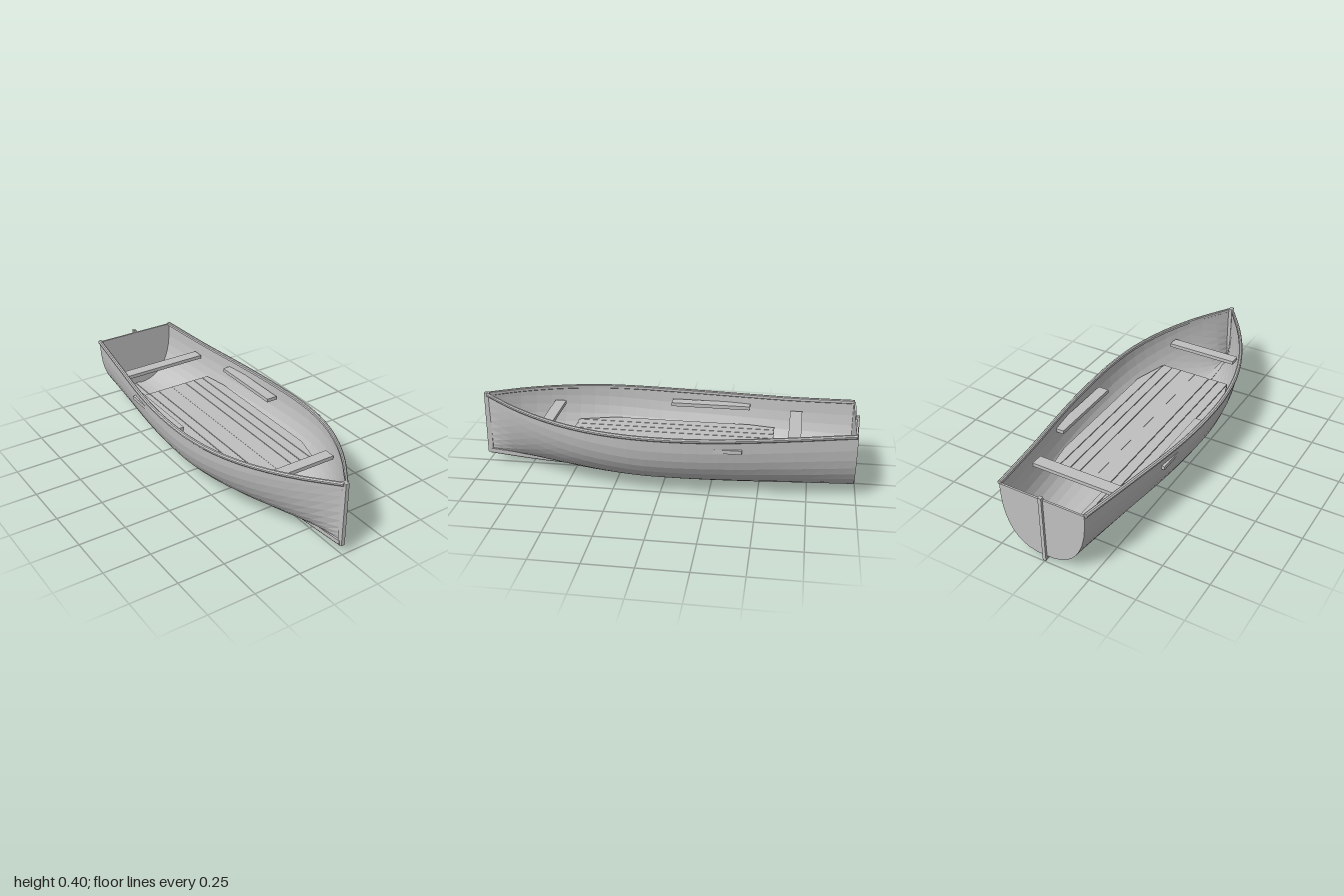
import * as THREE from 'three';

const STERN = -0.983, BOW = 0.985, STATIONS = 26, SIDE = 10;

// Smooth curve through [z, value] pairs
function curve(pairs) {
  const f = new THREE.CubicInterpolant(pairs.map(p => p[0]), pairs.map(p => p[1]), 1);
  return z => f.evaluate(z)[0];
}
const halfWidth = curve([[-0.985, 0.233], [-0.8, 0.257], [-0.6, 0.284], [-0.4, 0.313], [-0.2, 0.335], [0, 0.345],
  [0.2, 0.341], [0.4, 0.311], [0.6, 0.244], [0.8, 0.138], [0.985, 0.004]]);
const sheer = curve([[-0.985, 0.37], [-0.6, 0.349], [-0.2, 0.339], [0.1, 0.342], [0.5, 0.36], [0.985, 0.393]]);
const bottom = curve([[-0.985, 0.027], [-0.4, 0.025], [0, 0.026], [0.4, 0.033], [0.7, 0.046], [0.985, 0.072]]);

// Cross-section of the hull at z, from the -x rail round the bottom to the +x rail
function section(z) {
  const e = 2 / (2.5 - 1.0 * THREE.MathUtils.clamp((z - 0.1) / 0.9, 0, 1));
  const w = halfWidth(z), s = sheer(z), b = bottom(z), pts = [];
  for (let i = -SIDE; i <= SIDE; i++) {
    const t = Math.abs(i) / SIDE * Math.PI / 2;
    pts.push([Math.sign(i) * w * Math.sin(t) ** e, s - (s - b) * Math.max(0, Math.cos(t)) ** e, z]);
  }
  return pts;
}

// Skin over cross-sections; closed rings also get end caps
function loft(rings, closed) {
  const n = rings[0].length, pos = rings.flat(2), idx = [];
  for (let r = 0; r < rings.length - 1; r++) {
    for (let i = 0; i < (closed ? n : n - 1); i++) {
      const a = r * n + i, b = r * n + (i + 1) % n;
      idx.push(a, b, a + n, b, b + n, a + n);
    }
  }
  if (closed) {
    const last = (rings.length - 1) * n;
    for (let i = 1; i < n - 1; i++) idx.push(0, i + 1, i, last, last + i, last + i + 1);
  }
  const g = new THREE.BufferGeometry();
  g.setAttribute('position', new THREE.Float32BufferAttribute(pos, 3));
  g.setIndex(idx);
  g.computeVertexNormals();
  return g;
}

export function createModel() {
  const boat = new THREE.Group();
  boat.name = 'rowingBoat';
  const grey = new THREE.MeshStandardMaterial({ color: 0xc0c0c0, side: THREE.DoubleSide, flatShading: true });
  grey.name = 'paintedGrey';

  const add = (name, geometry) => {
    const m = new THREE.Mesh(geometry, grey);
    m.name = name;
    boat.add(m);
    return m;
  };
  const box = (name, x0, x1, y0, y1, z0, z1) =>
    add(name, new THREE.BoxGeometry(x1 - x0, y1 - y0, z1 - z0))
      .position.set((x0 + x1) / 2, (y0 + y1) / 2, (z0 + z1) / 2);
  // Flat board from an outline of [x, z] corners, with its top at y
  const board = (name, outline, y, thick) => {
    const shape = new THREE.Shape(outline.map(p => new THREE.Vector2(...p)));
    const g = new THREE.ExtrudeGeometry(shape, { depth: thick, bevelEnabled: false });
    add(name, g.rotateX(Math.PI / 2)).position.y = y;
  };

  const zs = Array.from({ length: STATIONS + 1 }, (_, i) => STERN + (BOW - STERN) * i / STATIONS);

  // Hull skin
  add('hull', loft(zs.map(section), false));

  // Transom closes the stern
  const transom = new THREE.Shape(section(STERN).map(p => new THREE.Vector2(p[0], p[1])));
  add('transom', new THREE.ExtrudeGeometry(transom, { depth: 0.01, bevelEnabled: false })).position.z = STERN - 0.005;

  // Gunwale rails follow the sheer on both sides
  const railProfile = [[-0.009, -0.007], [-0.009, 0.007], [-0.003, 0.011], [0.006, 0.01], [0.012, 0.004],
    [0.012, -0.004], [0.006, -0.01], [-0.003, -0.011]];
  for (const s of [-1, 1]) {
    add(s > 0 ? 'leftGunwale' : 'rightGunwale', loft(zs.map(z =>
      railProfile.map(([x, y]) => [s * Math.max(0, halfWidth(z) + x), sheer(z) + y, z])), true));
  }

  // Keel with a rounded underside
  const keelProfile = [[-0.014, 0.006], [-0.014, -0.014], [-0.009, -0.022], [0, -0.025], [0.009, -0.022],
    [0.014, -0.014], [0.014, 0.006]];
  add('keel', loft(zs.map(z => keelProfile.map(([x, y]) => [x, bottom(z) + y, z])), true));

  // Stem and stern posts
  box('stem', -0.01, 0.01, 0.055, 0.403, 0.972, 1.0);
  box('sternPost', -0.009, 0.009, 0.004, 0.385, -1.0, -0.98);

  // Thwarts and side benches
  box('bowThwart', -0.2, 0.2, 0.28, 0.3, 0.6, 0.66);
  box('sternThwart', -0.252, 0.252, 0.27, 0.29, -0.707, -0.642);
  box('rightBench', -0.325, -0.265, 0.275, 0.295, -0.42, 0.015);
  box('leftBench', 0.265, 0.325, 0.275, 0.295, -0.42, 0.015);

  // Floorboards, mirrored about the centre line
  const edges = [0, 0.09, 0.148, 0.206], gap = 0.002;
  for (const s of [-1, 1]) {
    for (let i = 0; i < 3; i++) {
      const a = s * (edges[i] + (i ? gap : 0.0005)), b = s * (edges[i + 1] - gap);
      board('floorboard', [[a, -0.56], [b, -0.56], [b, 0.53], [a, 0.53]], 0.19, 0.015);
    }
    board('outerFloorboard', [[0.208, -0.56], [0.24, -0.56], [0.264, -0.42], [0.264, 0.33], [0.208, 0.525]]
      .map(([x, z]) => [s * x, z]), 0.19, 0.015);
  }
  return boat;
}
